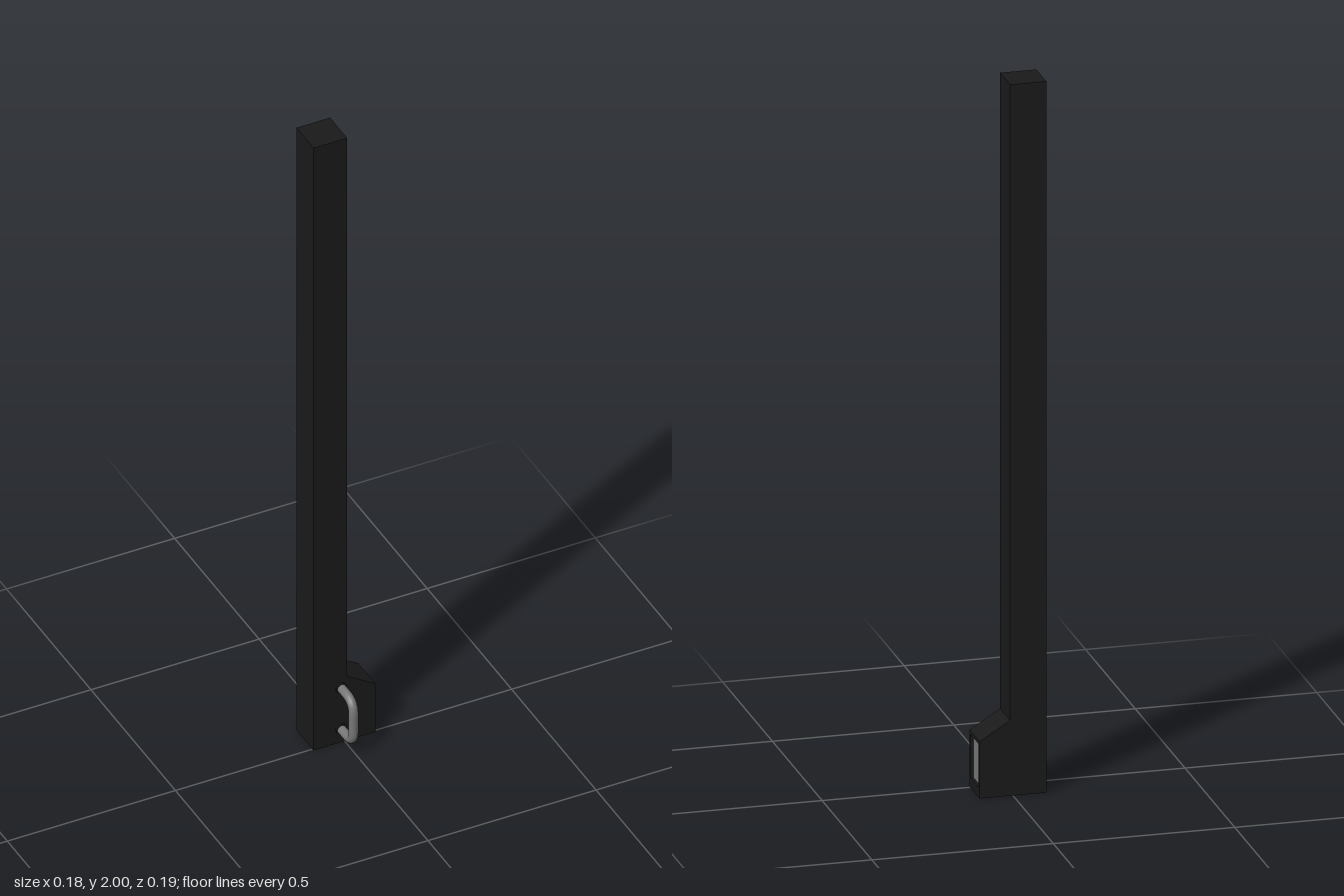
import * as THREE from 'three';

const black = new THREE.MeshStandardMaterial({ color: 0x1a1a1a });
const grey = new THREE.MeshStandardMaterial({ color: 0x777777 });
const BACK = -0.095, FRONT = 0.006, HANDLE_X = -0.011;

function add(parent, name, geometry, material, x = 0, y = 0, z = 0) {
  const mesh = new THREE.Mesh(geometry, material);
  mesh.name = name;
  mesh.position.set(x, y, z);
  parent.add(mesh);
  return mesh;
}

// Side outline of the lamp housing, extruded along z
function slab(points, depth) {
  const shape = new THREE.Shape(points.map(([x, y]) => new THREE.Vector2(x, y)));
  return new THREE.ExtrudeGeometry(shape, { depth, bevelEnabled: false });
}

export function createModel() {
  const model = new THREE.Group();
  const depth = FRONT - BACK, midZ = (FRONT + BACK) / 2;

  // Tall square post
  add(model, 'post', new THREE.BoxGeometry(0.1, 2, depth), black, -0.042, 1, midZ);

  // Sloped housing at the foot, with a shallow window recess in its outer face
  const housing = new THREE.Group();
  housing.name = 'housing';
  model.add(housing);
  const outline = [[0.008, 0], [0.092, 0], [0.092, 0.16], [0.008, 0.212]];
  const notched = [[0.008, 0], [0.092, 0], [0.092, 0.028], [0.082, 0.028],
    [0.082, 0.15], [0.092, 0.15], [0.092, 0.16], [0.008, 0.212]];
  const wall = 0.009;
  add(housing, 'housingBackWall', slab(outline, wall), black, 0, 0, BACK);
  add(housing, 'housingCore', slab(notched, depth - 2 * wall), black, 0, 0, BACK + wall);
  add(housing, 'housingFrontWall', slab(outline, wall), black, 0, 0, FRONT - wall);
  add(housing, 'windowPanel', new THREE.BoxGeometry(0.002, 0.122, depth - 2 * wall), grey, 0.083, 0.089, midZ);

  // Bent tubular handle on the front
  const V = (y, z) => new THREE.Vector3(HANDLE_X, y, z);
  const low = 0.046, high = 0.182, reach = 0.081, bend = 0.04;
  const path = new THREE.CurvePath();
  path.add(new THREE.LineCurve3(V(low, FRONT), V(low, reach - bend)));
  path.add(new THREE.QuadraticBezierCurve3(V(low, reach - bend), V(low, reach), V(low + bend, reach)));
  path.add(new THREE.LineCurve3(V(low + bend, reach), V(high - bend, reach)));
  path.add(new THREE.QuadraticBezierCurve3(V(high - bend, reach), V(high, reach), V(high, reach - bend)));
  path.add(new THREE.LineCurve3(V(high, reach - bend), V(high, FRONT)));
  add(model, 'handle', new THREE.TubeGeometry(path, 40, 0.013, 16), grey);

  // Collars where the handle meets the post
  for (const [name, y] of [['lowerCollar', low], ['upperCollar', high]]) {
    const collar = add(model, name, new THREE.CylinderGeometry(0.016, 0.016, 0.008, 20), black, HANDLE_X, y, FRONT + 0.002);
    collar.rotation.x = Math.PI / 2;
  }
  return model;
}
